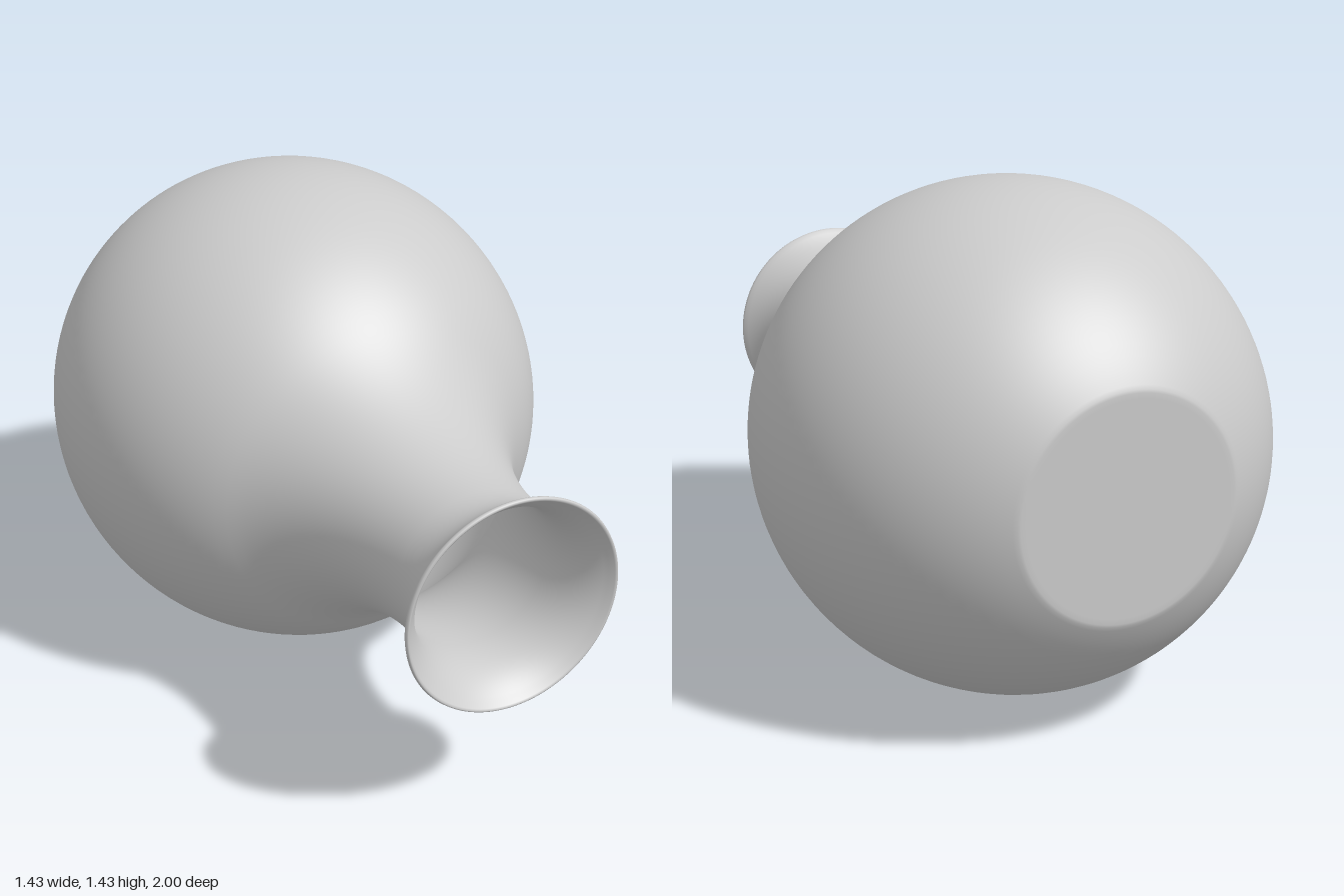
import * as THREE from 'three';

const RADIUS = 0.715;      // widest radius of the belly
const HALF_LENGTH = 0.755; // belly semi-axis along the vase
const BELLY = -0.32;       // position of the widest ring
const WALL = 0.012;

const P = (r, z) => new THREE.Vector2(r, z);
const bellyRadius = (z) => RADIUS * Math.sqrt(1 - ((z - BELLY) / HALF_LENGTH) ** 2);

// Outer wall from the foot to the lip, as (radius, position along the axis)
function wallPoints() {
  const points = [];
  const a0 = Math.asin((-0.993 - BELLY) / HALF_LENGTH);
  const a1 = Math.asin((0.25 - BELLY) / HALF_LENGTH);
  for (let i = 0; i < 40; i++) {
    const a = a0 + ((a1 - a0) * i) / 40;
    points.push(P(RADIUS * Math.cos(a), BELLY + HALF_LENGTH * Math.sin(a)));
  }
  const shoulder = new THREE.CubicBezierCurve(P(bellyRadius(0.25), 0.25), P(0.327, 0.38), P(0.236, 0.58), P(0.236, 0.8));
  const lip = new THREE.CubicBezierCurve(P(0.236, 0.8), P(0.236, 0.89), P(0.262, 0.94), P(0.308, 0.985));
  return [...points, ...shoulder.getPoints(20), ...lip.getPoints(14).slice(1)];
}

// Shift a profile inwards, perpendicular to its direction
function inset(points, d) {
  return points.map((p, i) => {
    const t = points[Math.min(i + 1, points.length - 1)].clone().sub(points[Math.max(i - 1, 0)]).normalize();
    return P(p.x - t.y * d, p.y + t.x * d);
  });
}

function lathe(name, points) {
  const geometry = new THREE.LatheGeometry(points, 128);
  geometry.rotateX(Math.PI / 2); // lay the vase down, mouth to the front
  const material = new THREE.MeshStandardMaterial({ color: 0xcccccc });
  const mesh = new THREE.Mesh(geometry, material);
  mesh.name = name;
  mesh.position.y = RADIUS;
  return mesh;
}

export function createModel() {
  const group = new THREE.Group();
  group.name = 'vase';

  const outer = wallPoints();
  const inner = inset(outer, WALL).filter((p) => p.y > -0.975 && p.y < 0.985).reverse();

  // Foot with a softly rounded edge, body, neck, rolled rim and inner wall
  group.add(lathe('vaseBody', [
    P(0.29, -1), P(0.305, -1), P(0.313, -0.998),
    ...outer,
    P(0.311, 0.992), P(0.309, 0.998), P(0.305, 1), P(0.3, 0.997),
    ...inner,
  ]));

  // Flat underside and inner floor
  group.add(lathe('footBase', [P(0, -1), P(0.29, -1)]));
  const floor = inner[inner.length - 1];
  group.add(lathe('innerFloor', [P(floor.x, floor.y), P(0, floor.y)]));
  return group;
}
